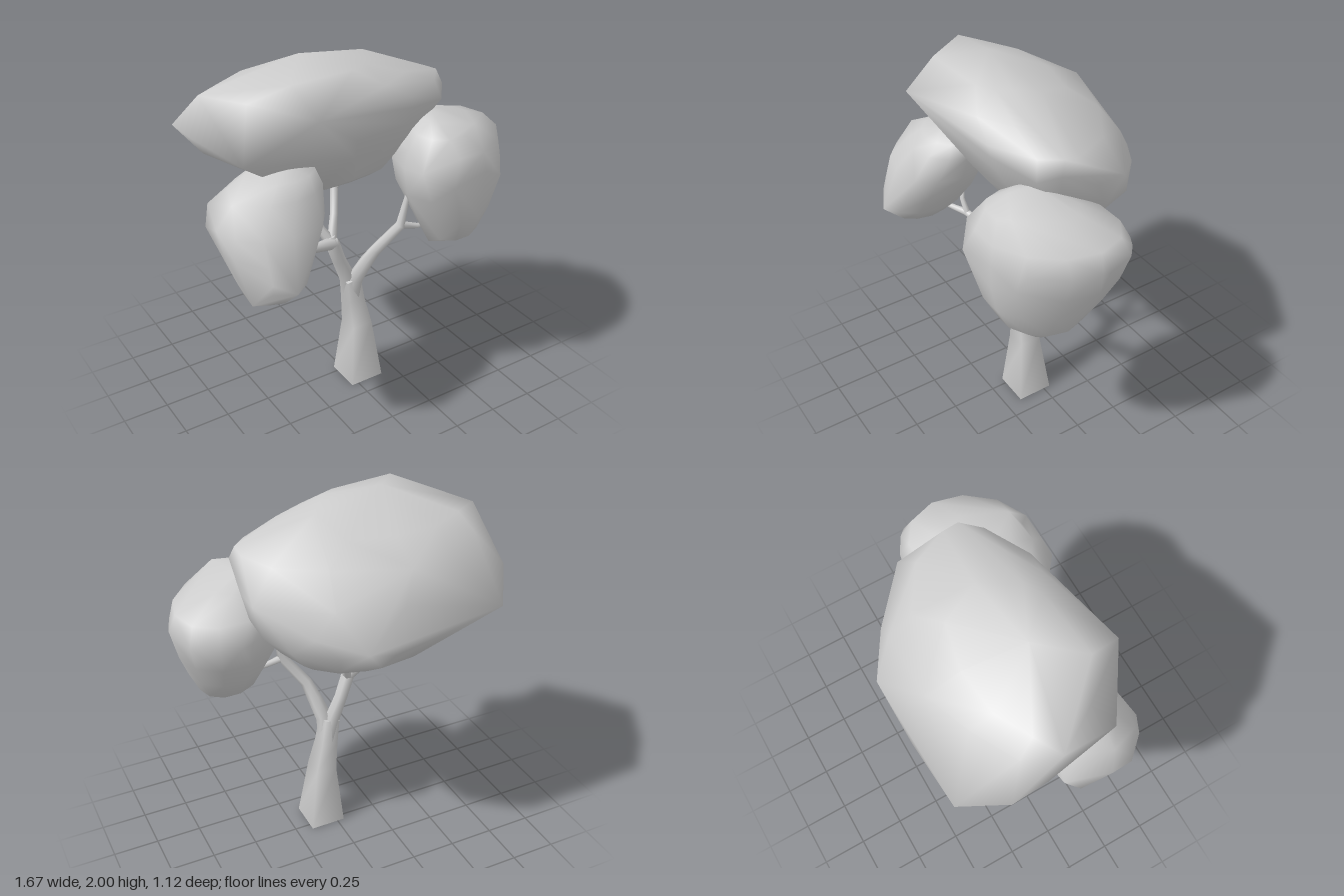
import * as THREE from 'three';
import { ConvexGeometry } from 'three/addons/geometries/ConvexGeometry.js';
import { mergeVertices } from 'three/addons/utils/BufferGeometryUtils.js';

const clay = new THREE.MeshStandardMaterial({ color: 0xcccccc });
clay.name = 'pale grey';

// Smooth faceted blob: rows are [y, xMin, xMax, zMin, zMax], plus extra corner points.
// lean slants each oval row: positive stretches it towards +x+z, negative towards +x-z.
function crown(name, lean, rows, corners) {
  const points = corners.map((c) => new THREE.Vector3(...c));
  for (const [y, x0, x1, z0, z1] of rows) {
    for (let i = 0; i < 12; i++) {
      const a = (i / 12) * Math.PI * 2;
      points.push(new THREE.Vector3(
        (x0 + x1) / 2 + Math.cos(a) * (x1 - x0) / 2, y,
        (z0 + z1) / 2 + Math.sin(a + lean) * (z1 - z0) / 2));
    }
  }
  let geo = new ConvexGeometry(points);
  geo.deleteAttribute('normal');
  geo = mergeVertices(geo, 1e-4);
  geo.computeVertexNormals();
  const mesh = new THREE.Mesh(geo, clay);
  mesh.name = name;
  return mesh;
}

// Tapered limb through stations [x, y, z, radius], closed at both ends
function limb(name, stations, sides = 6, turn = 0.26) {
  const pos = [], index = [];
  const up = new THREE.Vector3(0, 1, 0);
  const pts = stations.map((s) => new THREE.Vector3(s[0], s[1], s[2]));
  const last = pts.length - 1;
  pts.forEach((p, k) => {
    const dir = pts[Math.min(k + 1, last)].clone().sub(pts[Math.max(k - 1, 0)]).normalize();
    if (p.y === 0) dir.copy(up); // level foot on the ground
    const q = new THREE.Quaternion().setFromUnitVectors(up, dir);
    for (let i = 0; i < sides; i++) {
      const a = (i / sides) * Math.PI * 2 + turn;
      const v = new THREE.Vector3(Math.cos(a), 0, Math.sin(a)).multiplyScalar(stations[k][3]);
      pos.push(...v.applyQuaternion(q).add(p).toArray());
    }
  });
  for (let k = 0; k < last; k++) {
    for (let i = 0; i < sides; i++) {
      const a = k * sides + i, b = k * sides + (i + 1) % sides;
      index.push(a, a + sides, b, b, a + sides, b + sides);
    }
  }
  // End caps with their own vertices
  for (const k of [0, last]) {
    const start = pos.length / 3;
    pos.push(...pos.slice(k * sides * 3, (k + 1) * sides * 3));
    for (let i = 1; i < sides - 1; i++) {
      if (k === 0) index.push(start, start + i, start + i + 1);
      else index.push(start, start + i + 1, start + i);
    }
  }
  const geo = new THREE.BufferGeometry();
  geo.setAttribute('position', new THREE.Float32BufferAttribute(pos, 3));
  geo.setIndex(index);
  geo.computeVertexNormals();
  const mesh = new THREE.Mesh(geo, clay);
  mesh.name = name;
  return mesh;
}

export function createModel() {
  const tree = new THREE.Group();
  tree.name = 'tree';

  // Square trunk and the two main forks
  tree.add(
    limb('trunk', [[0.06, 0, 0.06, 0.141], [0.05, 0.36, 0.06, 0.085],
      [0.025, 0.53, 0.055, 0.066], [0.002, 0.67, 0.065, 0.06]], 4, Math.PI / 4),
    limb('rightFork', [[0.02, 0.54, 0.05, 0.042], [-0.015, 0.68, 0.055, 0.043], [-0.065, 0.8, 0.055, 0.037],
      [-0.11, 0.92, 0.065, 0.038], [-0.115, 0.96, 0.06, 0.022]]),
    limb('leftFork', [[0.025, 0.54, 0.06, 0.042], [0.025, 0.67, 0.085, 0.045], [0.06, 0.78, 0.13, 0.039],
      [0.09, 0.87, 0.175, 0.032], [0.2, 1.02, 0.24, 0.028], [0.225, 1.16, 0.25, 0.017], [0.25, 1.25, 0.25, 0.012]]),
  );

  // Thin branches reaching into the foliage
  tree.add(
    limb('leftTwig', [[0.2, 1.02, 0.24, 0.022], [0.3, 0.99, 0.25, 0.015], [0.38, 0.99, 0.26, 0.012]]),
    limb('upperBranch', [[-0.11, 0.92, 0.06, 0.028], [-0.06, 1.05, 0, 0.022],
      [-0.015, 1.17, -0.07, 0.022], [-0.02, 1.24, -0.08, 0.013]]),
    limb('upperTwig', [[-0.02, 1.165, -0.065, 0.019], [0.06, 1.2, -0.09, 0.014], [0.16, 1.215, -0.13, 0.012]]),
    limb('backBranch', [[-0.11, 0.92, 0.06, 0.03], [-0.2, 1.07, -0.02, 0.022],
      [-0.29, 1.19, -0.09, 0.018], [-0.37, 1.25, -0.16, 0.016], [-0.39, 1.31, -0.18, 0.012]]),
    limb('sideBranch', [[-0.1, 0.92, 0.065, 0.036], [-0.26, 0.955, 0.11, 0.023],
      [-0.4, 0.99, 0.15, 0.021], [-0.54, 1, 0.22, 0.013]]),
    limb('sideTwig', [[-0.39, 0.99, 0.15, 0.018], [-0.44, 1.06, 0.15, 0.014], [-0.47, 1.12, 0.13, 0.012]]),
  );

  // Large tilted canopy on top
  tree.add(crown('topCanopy', 0.1, [
    [1.94, -0.48, 0.03, -0.06, 0.25],
    [1.86, -0.69, 0.28, -0.25, 0.34],
    [1.78, -0.75, 0.48, -0.37, 0.37],
    [1.62, -0.78, 0.52, -0.5, 0.33],
    [1.5, -0.7, 0.5, -0.54, 0.27],
    [1.4, -0.56, 0.45, -0.55, 0.2],
    [1.3, -0.4, 0.36, -0.48, 0.13],
    [1.24, -0.26, 0.28, -0.39, 0.05],
    [1.2, 0, 0.14, -0.25, -0.13],
  ], [
    [-0.28, 2, 0.05], [-0.41, 1.83, 0.45], [-0.45, 1.95, 0.27], [-0.76, 1.86, -0.05],
    [-0.71, 1.61, 0.28], [-0.79, 1.62, -0.32], [-0.65, 1.52, -0.54], [-0.27, 1.45, -0.56],
    [0.09, 1.44, -0.56], [0.3, 1.5, -0.42], [0.52, 1.62, -0.2], [0.5, 1.72, 0.15],
    [0.43, 1.68, 0.24], [0.19, 1.72, 0.33], [0.11, 1.93, 0], [-0.2, 1.77, -0.43],
    [0.48, 1.79, 0.12], [-0.42, 1.37, 0.12], [-0.26, 1.26, 0.08],
  ]));

  // Lower canopy on the left
  tree.add(crown('leftCanopy', -0.28, [
    [1.61, 0.3, 0.46, 0.16, 0.34],
    [1.56, 0.23, 0.62, 0.06, 0.46],
    [1.48, 0.19, 0.8, -0.09, 0.53],
    [1.38, 0.17, 0.835, -0.14, 0.55],
    [1.24, 0.19, 0.8, -0.1, 0.545],
    [1.1, 0.26, 0.745, -0.02, 0.52],
    [0.96, 0.32, 0.68, 0.09, 0.45],
    [0.88, 0.47, 0.58, 0.24, 0.34],
  ], [
    [0.37, 1.63, 0.24], [0.56, 1.38, -0.15], [0.75, 1.4, -0.08], [0.29, 1.35, 0.56],
    [0.165, 1.42, 0.46], [0.165, 1.25, 0.34], [0.33, 0.92, 0.32], [0.64, 1.3, 0.49],
    [0.5, 1.595, 0.42], [0.38, 1.605, 0.17], [0.835, 1.39, 0.15],
  ]));

  // Smaller canopy on the right
  tree.add(crown('rightCanopy', 0, [
    [1.53, -0.53, -0.4, 0.13, 0.24],
    [1.5, -0.64, -0.3, 0.05, 0.33],
    [1.43, -0.74, -0.27, -0.01, 0.39],
    [1.3, -0.84, -0.29, -0.02, 0.47],
    [1.18, -0.82, -0.35, -0.01, 0.51],
    [1.05, -0.79, -0.43, 0.06, 0.53],
    [0.97, -0.76, -0.5, 0.14, 0.48],
    [0.93, -0.68, -0.61, 0.24, 0.38],
  ], [
    [-0.6, 1.05, 0.555], [-0.4, 1.3, 0.45], [-0.82, 1.2, 0.36], [-0.7, 1.1, 0.5], [-0.29, 1.5, 0.12],
    [-0.77, 1.32, -0.01], [-0.82, 1.24, 0.06], [-0.77, 1.43, 0.26], [-0.77, 0.97, 0.42],
    [-0.65, 0.93, 0.24], [-0.53, 0.98, 0.22],
  ]));

  return tree;
}
